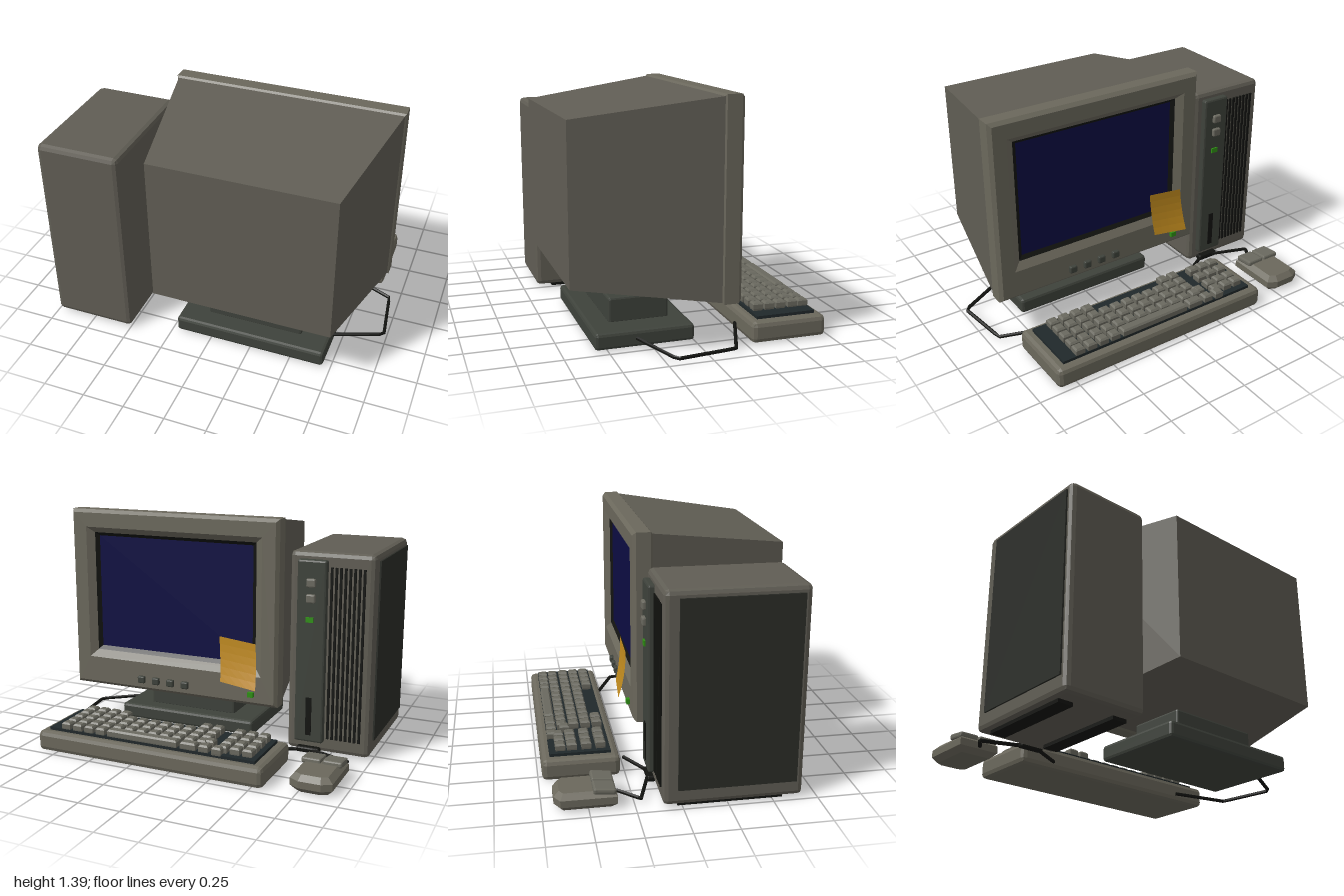
import * as THREE from 'three';
import { RoundedBoxGeometry } from 'three/addons/geometries/RoundedBoxGeometry.js';

const mat = (color, side = THREE.FrontSide) =>
  new THREE.MeshStandardMaterial({ color, side, flatShading: true });
const M = {
  beige: mat(0x6b685c), body: mat(0x605d54), keys: mat(0x6a695f), dark: mat(0x3e423b),
  panel: mat(0x2a2c27), plate: mat(0x20282a), black: mat(0x121310), screen: mat(0x0c0c42),
  green: mat(0x2f9014), note: mat(0xc08a1e, THREE.DoubleSide),
};

function add(parent, name, geometry, material, x = 0, y = 0, z = 0) {
  const mesh = new THREE.Mesh(geometry, material);
  mesh.name = name;
  mesh.position.set(x, y, z);
  parent.add(mesh);
  return mesh;
}

// Box given by its limits; c is the chamfer on every edge
function box(parent, name, material, [x0, x1], [y0, y1], [z0, z1], c = 0) {
  const size = [x1 - x0, y1 - y0, z1 - z0];
  const geo = c ? new RoundedBoxGeometry(...size, 1, c) : new THREE.BoxGeometry(...size);
  return add(parent, name, geo, material, (x0 + x1) / 2, (y0 + y1) / 2, (z0 + z1) / 2);
}

// Skin through rectangles [x0, x1, y0, y1, z] running towards -z, with optional end caps
function loft(rects, capStart, capEnd) {
  const pos = [], index = [];
  for (const [x0, x1, y0, y1, z] of rects) pos.push(x0, y0, z, x1, y0, z, x1, y1, z, x0, y1, z);
  for (let r = 0; r < rects.length - 1; r++) {
    for (let i = 0; i < 4; i++) {
      const a = r * 4 + i, b = r * 4 + (i + 1) % 4;
      index.push(a, a + 4, b, b, a + 4, b + 4);
    }
  }
  const e = (rects.length - 1) * 4;
  if (capStart) index.push(0, 1, 2, 0, 2, 3);
  if (capEnd) index.push(e, e + 2, e + 1, e, e + 3, e + 2);
  const geo = new THREE.BufferGeometry();
  geo.setAttribute('position', new THREE.Float32BufferAttribute(pos, 3));
  geo.setIndex(index);
  const flat = geo.toNonIndexed();
  flat.computeVertexNormals();
  return flat;
}

// Cable with straight runs between points
function cable(parent, name, points, radius = 0.011) {
  const path = new THREE.CurvePath();
  const v = points.map((p) => new THREE.Vector3(...p));
  for (let i = 0; i < v.length - 1; i++) path.add(new THREE.LineCurve3(v[i], v[i + 1]));
  add(parent, name, new THREE.TubeGeometry(path, 24, radius, 6), M.black);
}

function monitor() {
  const g = new THREE.Group();
  g.name = 'monitor';
  add(g, 'monitorHousing', loft([[-0.29, 0.775, 0.39, 1.275, 0.72],
    [-0.437, 0.92, 0.283, 1.383, -0.08]], true, false), M.body);
  // Bezel with a sloped opening, then the dark rim and the glass
  add(g, 'bezel', loft([
    [-0.435, 0.915, 0.285, 1.38, -0.07], [-0.447, 0.927, 0.275, 1.393, -0.082],
    [-0.447, 0.927, 0.275, 1.393, -0.165], [-0.427, 0.907, 0.295, 1.373, -0.185],
    [-0.345, 0.825, 0.455, 1.285, -0.185], [-0.30, 0.78, 0.50, 1.25, -0.155],
  ], true, false), M.beige);
  const rim = [-0.275, 0.755, 0.525, 1.23, -0.14];
  add(g, 'screenRim', loft([[-0.30, 0.78, 0.50, 1.25, -0.155], rim], false, false), M.black);
  add(g, 'screen', loft([rim], false, true), M.screen);
  for (let i = 0; i < 4; i++) {
    const x = 0.15 + i * 0.1;
    box(g, 'controlButton', M.dark, [x - 0.024, x + 0.024], [0.325, 0.37], [-0.208, -0.18], 0.008);
  }
  box(g, 'monitorLight', M.green, [-0.303, -0.267], [0.33, 0.36], [-0.205, -0.18]);
  box(g, 'standNeck', M.dark, [-0.055, 0.535], [0.09, 0.24], [0.10, 0.45], 0.012);
  box(g, 'standBase', M.dark, [-0.22, 0.705], [0.005, 0.1], [0, 0.57], 0.018);

  // Paper note that curls forward at its lower edge
  const paper = new THREE.PlaneGeometry(0.23, 0.27, 4, 6);
  const p = paper.attributes.position;
  for (let i = 0; i < p.count; i++) {
    const t = 0.5 - p.getY(i) / 0.27, u = p.getX(i) / 0.23 + 0.5;
    p.setXYZ(i, p.getX(i) - 0.02 * t, p.getY(i) - 0.025 * (0.5 - u), -0.04 * t * t * (1.2 - 0.4 * u));
  }
  paper.computeVertexNormals();
  add(g, 'paperNote', paper, M.note, -0.205, 0.54, -0.21);
  return g;
}

function tower() {
  const g = new THREE.Group();
  g.name = 'tower';
  box(g, 'towerCase', M.body, [-0.99, -0.49], [0.02, 1.213], [-0.11, 0.665], 0.028);
  box(g, 'sidePanel', M.panel, [-1, -0.98], [0.11, 1.17], [-0.03, 0.625]);
  box(g, 'frontPanel', M.dark, [-0.72, -0.545], [0.085, 1.17], [-0.147, -0.1], 0.012);
  for (const y of [0.95, 1.04])
    box(g, 'towerButton', M.keys, [-0.66, -0.605], [y - 0.025, y + 0.025], [-0.167, -0.14], 0.008);
  box(g, 'towerLight', M.green, [-0.65, -0.605], [0.81, 0.84], [-0.157, -0.14]);
  box(g, 'driveSlot', M.black, [-0.65, -0.615], [0.13, 0.36], [-0.15, -0.14]);
  for (let i = 0; i < 8; i++) {
    const x = -0.93 + i * 0.027;
    box(g, 'ventBar', M.black, [x - 0.007, x + 0.007], [0.11, 1.13], [-0.119, -0.1]);
  }
  for (const x of [-0.91, -0.57])
    box(g, 'towerFoot', M.black, [x - 0.045, x + 0.045], [0, 0.03], [-0.025, 0.56]);
  return g;
}

function keyboard() {
  const g = new THREE.Group();
  g.name = 'keyboard';
  box(g, 'keyboardCase', M.beige, [-0.57, 0.867], [0.003, 0.126], [-0.727, -0.28], 0.028);
  box(g, 'keyPlate', M.plate, [-0.51, 0.81], [0.11, 0.143], [-0.68, -0.328]);

  // Tapered key cap of a given width, standing on the plate
  const cap = (w) => {
    const h = w / 2, rect = (s, z) => [-h + s, h - s, -0.029 + s, 0.029 - s, z];
    return loft([rect(0.002, 0), rect(0, -0.012), rect(0, -0.036), rect(0.009, -0.046)], false, true)
      .rotateX(Math.PI / 2);
  };
  const single = cap(0.058);
  const key = (x, z) => add(g, 'key', single, M.keys, x, 0.143 - (z + 0.37) * -0.02, z);
  const column = (i) => -0.158 + i * 0.0778;
  for (const x of [-0.45, -0.375, -0.298])
    for (const z of [-0.615, -0.548, -0.465, -0.383]) key(x, z);
  for (const z of [-0.585, -0.512, -0.442])
    for (let i = 0; i < 12; i++) key(column(i), z);
  for (const z of [-0.372, -0.65])
    for (const i of [0, 1, 8, 9, 10, 11]) key(column(i) - (z < -0.6 && i < 2 ? 0.042 : 0), z);
  for (const [x, z] of [[-0.28, -0.653], [-0.085, -0.65], [-0.2, -0.572]]) key(x, z);
  add(g, 'spaceBar', cap(0.45), M.keys, 0.19, 0.138, -0.652);
  return g;
}

function mouse() {
  const g = new THREE.Group();
  g.name = 'mouse';
  // Outline in x and -z, with the palm end cut at its corners
  const b = 0.03;
  const outline = [[-0.09, 0], [0.09, 0], [0.09, 0.26], [0.055, 0.28], [-0.055, 0.28], [-0.09, 0.26]]
    .map(([x, y]) => new THREE.Vector2(x, y));
  const shell = new THREE.ExtrudeGeometry(new THREE.Shape(outline), {
    depth: 0.04, bevelSize: b, bevelThickness: b, bevelSegments: 1,
  });
  shell.rotateX(-Math.PI / 2);
  add(g, 'mouseShell', shell, M.beige, -0.822, 0.005 + b, -0.375);
  for (const x of [-0.882, -0.76])
    box(g, 'mouseButton', M.keys, [x - 0.056, x + 0.056], [0.088, 0.122], [-0.475, -0.353], 0.01)
      .rotation.x = 0.1;
  return g;
}

export function createModel() {
  const model = new THREE.Group();
  model.name = 'desktopComputer';
  model.add(monitor(), tower(), keyboard(), mouse());
  cable(model, 'mouseCable', [[-0.82, 0.05, -0.34], [-0.9, 0.03, -0.215], [-0.66, 0.035, -0.14]]);
  cable(model, 'towerCable', [[-0.6, 0.035, -0.13], [-0.55, 0.03, -0.145], [-0.385, 0.03, -0.24]]);
  box(model, 'cablePlug', M.black, [-0.7, -0.56], [0.015, 0.05], [-0.147, -0.1], 0.01);
  cable(model, 'keyboardCable', [[0.62, 0.045, -0.275], [0.94, 0.028, -0.15],
    [0.985, 0.03, 0.2], [0.69, 0.055, 0.34]]);
  return model;
}
